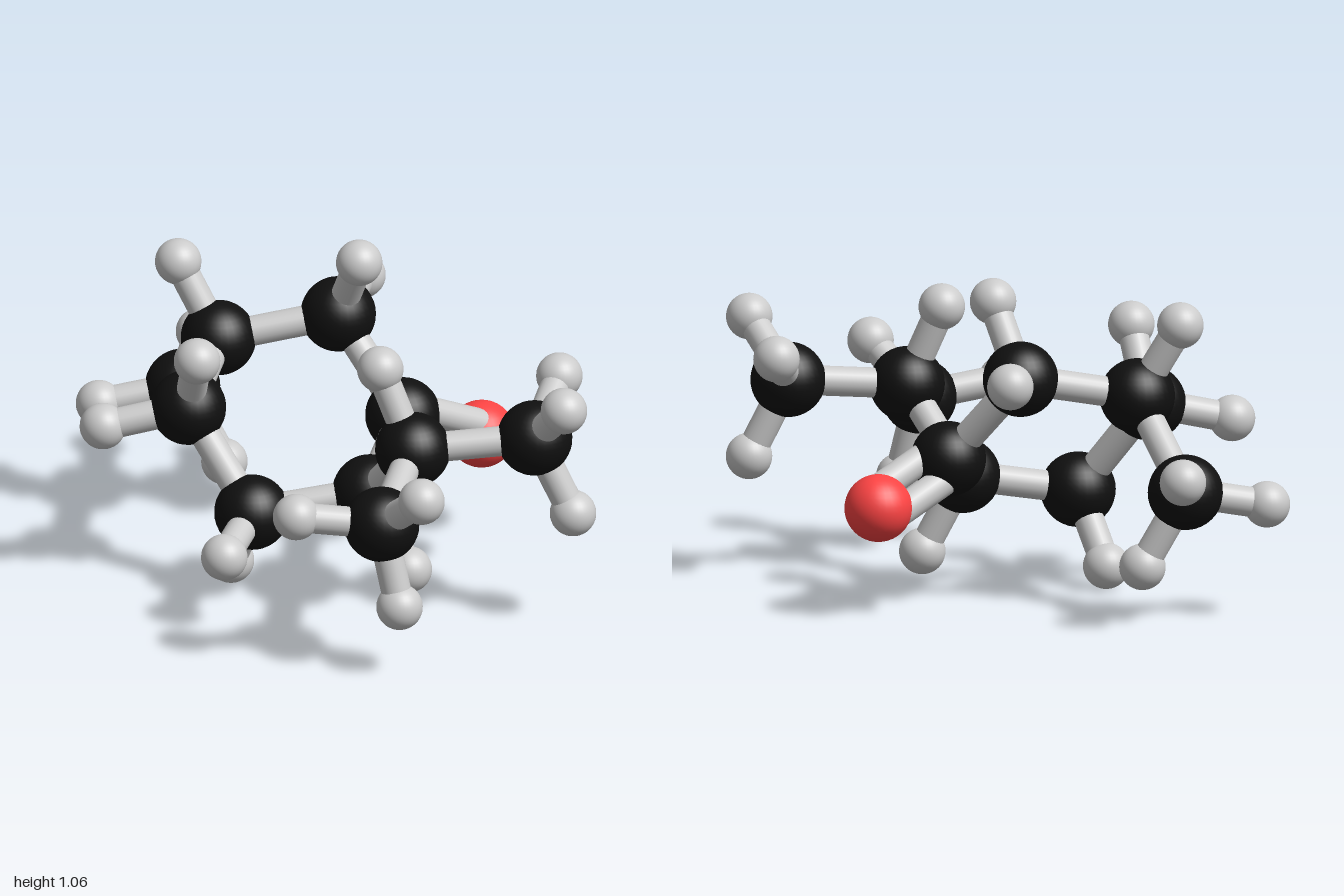
import * as THREE from 'three';

// Atom styles: radius and colour
const STYLES = {
  carbon: { radius: 0.12, color: 0x101010 },
  hydrogen: { radius: 0.074, color: 0xcccccc },
  oxygen: { radius: 0.108, color: 0xff4444 },
};
const BOND_RADIUS = 0.048;
const DOUBLE_OFFSET = 0.05;

// Each carbon with the hydrogens attached to it
const CARBONS = {
  carbonyl: { at: [-0.02, 0.48, -0.29], h: [] },
  ringBack: { at: [-0.275, 0.76, -0.23], h: [[-0.13, 0.99, -0.2], [-0.435, 0.785, -0.455]] },
  ringRight: { at: [-0.49, 0.69, 0.085], h: [[-0.62, 0.925, 0.145]] },
  ringFront: { at: [-0.265, 0.6, 0.385], h: [[-0.425, 0.54, 0.605], [-0.12, 0.825, 0.465]] },
  ringLow: { at: [-0.025, 0.3, 0.318], h: [[0.12, 0.25, 0.545], [-0.18, 0.077, 0.28]] },
  ringLeft: { at: [0.19, 0.36, 0.01], h: [[0.3, 0.112, -0.06]] },
  branch: { at: [0.478, 0.613, 0.065], h: [[0.375, 0.868, 0.115]] },
  branchBack: { at: [0.7, 0.643, -0.253], h: [[0.555, 0.755, -0.468], [0.91, 0.815, -0.205], [0.795, 0.395, -0.333]] },
  branchFront: { at: [0.7, 0.505, 0.367], h: [[0.56, 0.545, 0.603], [0.92, 0.657, 0.38], [0.77, 0.24, 0.35]] },
  sideCarbon: { at: [-0.755, 0.42, 0.02], h: [[-0.93, 0.5, -0.185], [-0.905, 0.37, 0.24], [-0.645, 0.177, -0.062]] },
};
const OXYGEN = [0.02, 0.355, -0.577];

// Six-sided ring followed by the branches
const CARBON_BONDS = [
  ['carbonyl', 'ringBack'], ['ringBack', 'ringRight'], ['ringRight', 'ringFront'],
  ['ringFront', 'ringLow'], ['ringLow', 'ringLeft'], ['ringLeft', 'carbonyl'],
  ['ringRight', 'sideCarbon'], ['ringLeft', 'branch'],
  ['branch', 'branchBack'], ['branch', 'branchFront'],
];

const vec = (p) => new THREE.Vector3(...p);

export function createModel() {
  const model = new THREE.Group();
  model.name = 'molecule';
  const bondMaterial = new THREE.MeshStandardMaterial({ color: 0xcccccc });
  const bondGeometry = new THREE.CylinderGeometry(BOND_RADIUS, BOND_RADIUS, 1, 24);
  const balls = {};
  for (const [kind, { radius, color }] of Object.entries(STYLES)) {
    balls[kind] = {
      geometry: new THREE.SphereGeometry(radius, 32, 20),
      material: new THREE.MeshStandardMaterial({ color }),
    };
  }

  function addAtom(kind, name, position) {
    const mesh = new THREE.Mesh(balls[kind].geometry, balls[kind].material);
    mesh.name = name;
    mesh.position.copy(position);
    model.add(mesh);
  }

  // Rod stretched between two points
  function addBond(name, a, b) {
    const axis = b.clone().sub(a);
    const mesh = new THREE.Mesh(bondGeometry, bondMaterial);
    mesh.name = name;
    mesh.position.copy(a).add(b).multiplyScalar(0.5);
    mesh.scale.y = axis.length();
    mesh.quaternion.setFromUnitVectors(new THREE.Vector3(0, 1, 0), axis.normalize());
    model.add(mesh);
  }

  // Carbons and their hydrogens
  for (const [name, { at, h }] of Object.entries(CARBONS)) {
    const center = vec(at);
    addAtom('carbon', `${name}Carbon`, center);
    h.forEach((p, i) => {
      addAtom('hydrogen', `${name}Hydrogen${i + 1}`, vec(p));
      addBond(`${name}HydrogenBond${i + 1}`, center, vec(p));
    });
  }

  // Carbon skeleton
  for (const [a, b] of CARBON_BONDS) {
    addBond(`${a}To${b}Bond`, vec(CARBONS[a].at), vec(CARBONS[b].at));
  }

  // Oxygen with a double bond, the two rods lying either side of the local ring plane
  const carbon = vec(CARBONS.carbonyl.at);
  const oxygen = vec(OXYGEN);
  addAtom('oxygen', 'oxygen', oxygen);
  const across = vec(CARBONS.ringLeft.at).sub(vec(CARBONS.ringBack.at));
  const offset = oxygen.clone().sub(carbon).cross(across).setLength(DOUBLE_OFFSET);
  for (const side of [-1, 1]) {
    const shift = offset.clone().multiplyScalar(side);
    addBond('oxygenDoubleBond', carbon.clone().add(shift), oxygen.clone().add(shift));
  }

  return model;
}
